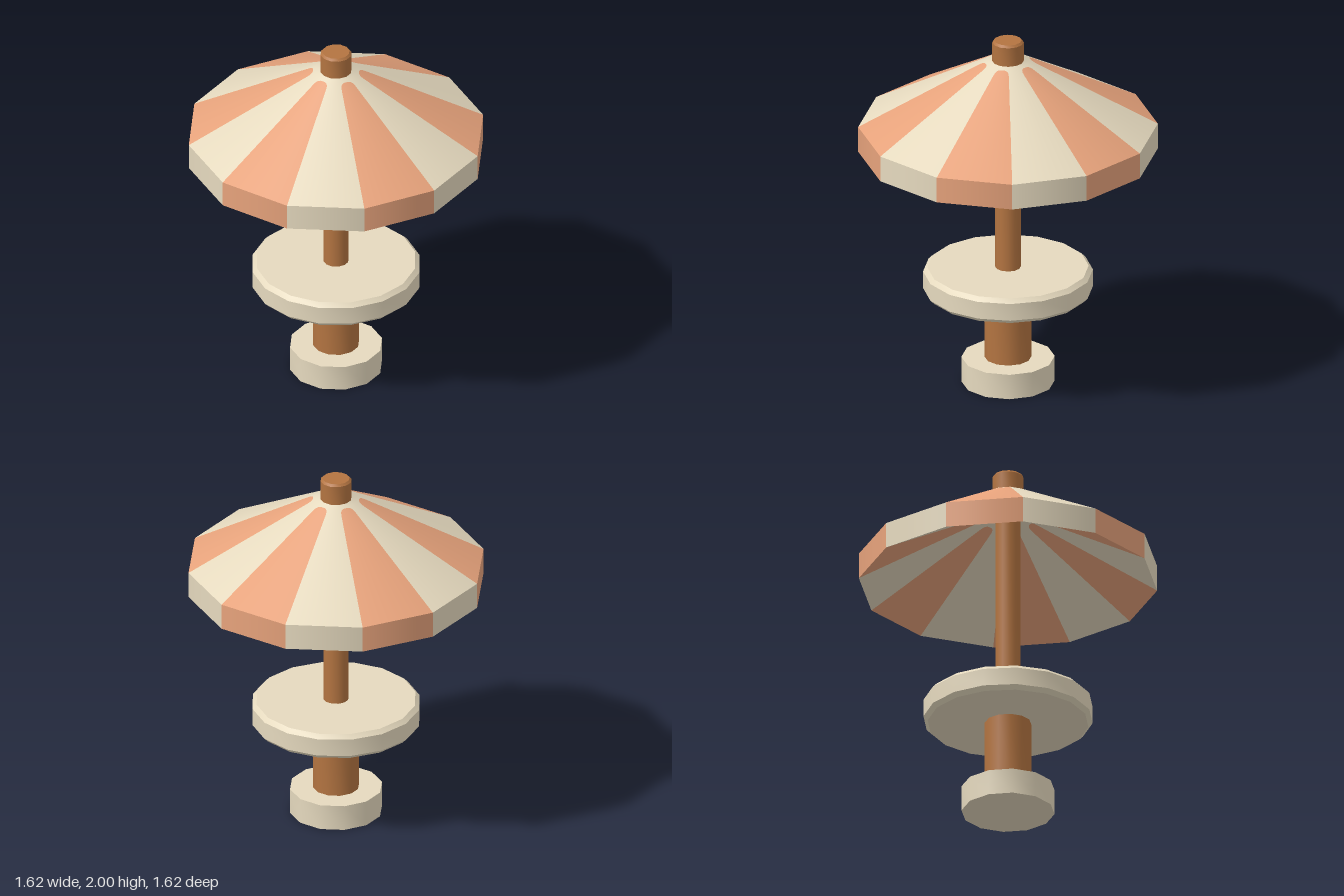
import * as THREE from 'three';
import { toCreasedNormals } from 'three/addons/utils/BufferGeometryUtils.js';

const SIDES = 12, STEPS = 12;
const RIM = 0.808, RIM_Y = 1.5, TOP = 0.12, TOP_Y = 1.88;
const THICK = 0.145; // canopy depth, straight down
const SLOPE = (RIM - TOP) / (TOP_Y - RIM_Y);

const paint = (name, color) => {
  const m = new THREE.MeshStandardMaterial({ color });
  m.name = name;
  return m;
};

// Solid of revolution from [radius, y] pairs listed bottom to top
function turned(name, profile, material, sides = SIDES) {
  const pts = profile.map(([r, y]) => new THREE.Vector2(r, y));
  const geo = toCreasedNormals(new THREE.LatheGeometry(pts, sides), 0.6);
  const mesh = new THREE.Mesh(geo, material);
  mesh.name = name;
  return mesh;
}

// Strip between two rows of points; normals have radial part `out` and vertical part `up`
function strip(name, first, second, out, up, material) {
  const pos = [], nor = [], idx = [];
  first.forEach((u, i) => {
    for (const p of [u, second[i]]) {
      const a = Math.atan2(p.z, p.x);
      const n = new THREE.Vector3(out * Math.cos(a), up, out * Math.sin(a)).normalize();
      pos.push(p.x, p.y, p.z);
      nor.push(n.x, n.y, n.z);
    }
    if (i > 0) {
      const k = 2 * i;
      idx.push(k - 2, k, k - 1, k, k + 1, k - 1);
    }
  });
  const geo = new THREE.BufferGeometry();
  geo.setAttribute('position', new THREE.Float32BufferAttribute(pos, 3));
  geo.setAttribute('normal', new THREE.Float32BufferAttribute(nor, 3));
  geo.setIndex(idx);
  const mesh = new THREE.Mesh(geo, material);
  mesh.name = name;
  return mesh;
}

export function createModel() {
  const wood = paint('wood', 0xb37441);
  const cream = paint('cream', 0xe5d9be);
  const orange = paint('orange', 0xe6a27b);

  const model = new THREE.Group();
  model.name = 'parasolTable';

  // Foot, column, table top, pole and finial
  model.add(
    turned('base', [[0, 0], [0.252, 0], [0.252, 0.143], [0, 0.143]], cream),
    turned('column', [[0.126, 0.14], [0.126, 0.54]], wood),
    turned('tableTop', [[0, 0.527], [0.435, 0.527], [0.458, 0.55], [0.458, 0.648], [0.435, 0.671], [0, 0.671]], cream, 16),
    turned('pole', [[0.069, 0.66], [0.069, 1.88]], wood),
    turned('finial', [[0, 1.87], [0.085, 1.87], [0.085, 1.988], [0.074, 2], [0, 2]], wood),
  );

  // Canopy: a thick shell of twelve alternating panels, striped above, at the hem and below
  const canopy = new THREE.Group();
  canopy.name = 'canopy';
  for (let k = 0; k < SIDES; k++) {
    const cloth = k % 2 === 0 ? orange : cream;
    const a = (k * Math.PI * 2) / SIDES, b = ((k + 1) * Math.PI * 2) / SIDES;
    const point = (s, r, y) => new THREE.Vector3(
      r * THREE.MathUtils.lerp(Math.cos(a), Math.cos(b), s), y,
      r * THREE.MathUtils.lerp(Math.sin(a), Math.sin(b), s));

    // A row across the panel at a radius given by s, lowered by `drop`
    const row = (radius, drop) => Array.from({ length: STEPS + 1 }, (_, i) => {
      const s = 0.5 - 0.5 * Math.cos((Math.PI * i) / STEPS);
      const r = radius(s);
      return point(s, r, TOP_Y - Math.max(0, r - TOP) / SLOPE - drop);
    });
    // Stripes end in a rounded tip just below the top
    const tip = (s) => 0.165 - 0.036 * Math.cbrt(Math.max(0, 1 - Math.abs(2 * s - 1) ** 3));
    const [inner, top, end, rim] = [() => 0.06, () => TOP, tip, () => RIM].map((f) => [row(f, 0), row(f, THICK)]);

    canopy.add(
      strip('collar', inner[0], top[0], 1, SLOPE, cream),
      strip('panelTop', top[0], end[0], 1, SLOPE, cream),
      strip('panel', end[0], rim[0], 1, SLOPE, cloth),
      strip('hem', rim[0], rim[1], 1, 0, cloth),
      strip('liningPanel', rim[1], end[1], -1, -SLOPE, cloth),
      strip('liningTop', end[1], top[1], -1, -SLOPE, cream),
      strip('ceiling', top[1], inner[1], -1, -SLOPE, cream),
    );
  }
  model.add(canopy);
  return model;
}
